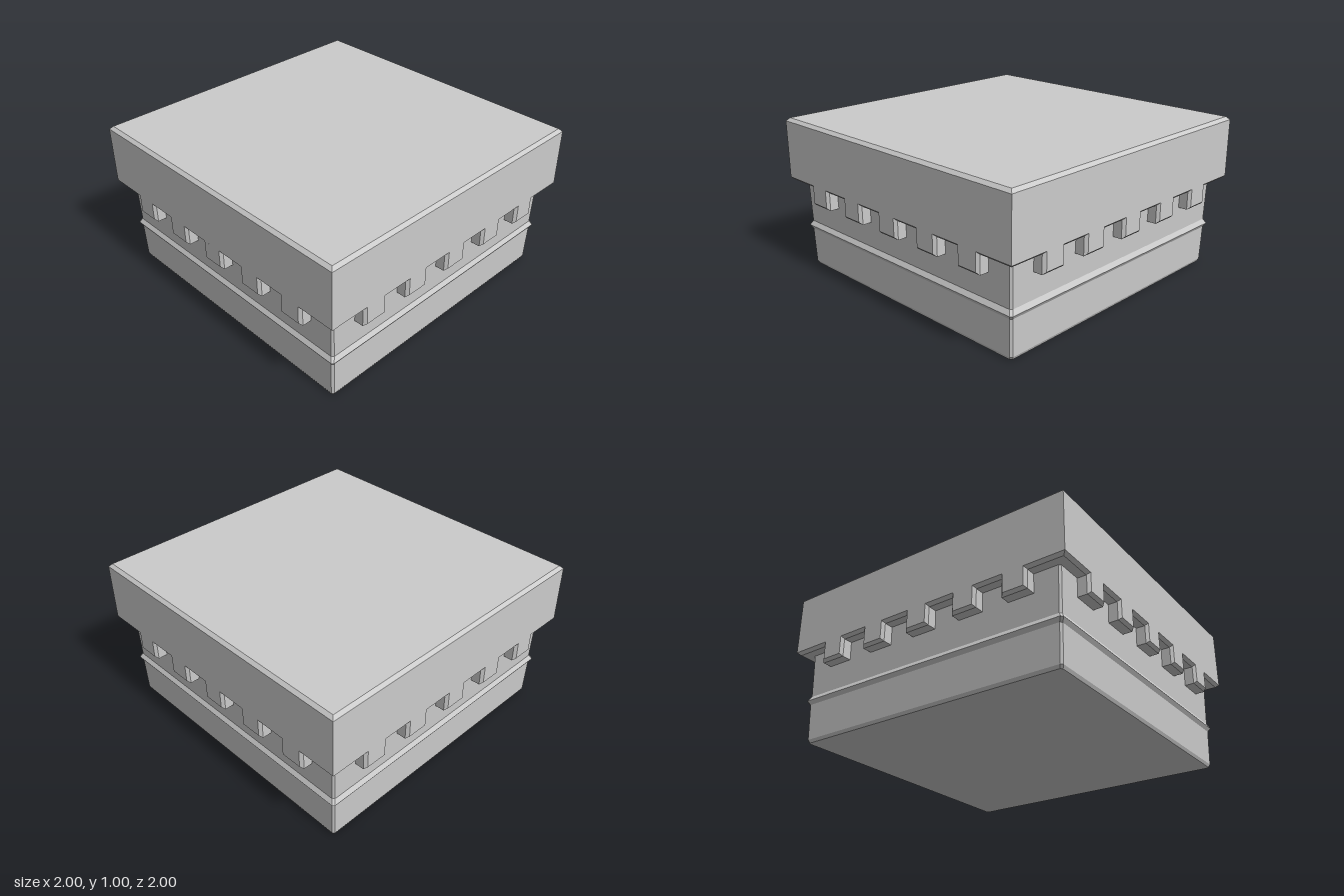
import * as THREE from 'three';

const material = new THREE.MeshStandardMaterial({ color: 0xcccccc, flatShading: true });

// Closed solid through rings of [x, y, z], each counter-clockwise about +z, from low z to high z
function loft(rings) {
  const pos = [];
  const tri = (a, b, c) => pos.push(...a, ...b, ...c);
  const n = rings[0].length;
  for (let r = 0; r < rings.length - 1; r++) {
    for (let i = 0; i < n; i++) {
      const j = (i + 1) % n;
      const [lo, hi] = [rings[r], rings[r + 1]];
      tri(lo[i], lo[j], hi[j]);
      tri(lo[i], hi[j], hi[i]);
    }
  }
  const first = rings[0], last = rings[rings.length - 1];
  for (let i = 1; i < n - 1; i++) {
    tri(first[0], first[i + 1], first[i]);
    tri(last[0], last[i], last[i + 1]);
  }
  const geo = new THREE.BufferGeometry();
  geo.setAttribute('position', new THREE.Float32BufferAttribute(pos, 3));
  geo.computeVertexNormals();
  return geo;
}

const rect = (x0, x1, y0, y1, z) => [[x0, y0, z], [x1, y0, z], [x1, y1, z], [x0, y1, z]];

// Square of half-width h with its corners cut by c
const cutSquare = (h, c, z) => {
  const k = h - c;
  return [[h, -k, z], [h, k, z], [k, h, z], [-k, h, z], [-h, k, z], [-h, -k, z], [-k, -h, z], [k, -h, z]];
};

function addMesh(parent, name, geometry) {
  const mesh = new THREE.Mesh(geometry, material);
  mesh.name = name;
  parent.add(mesh);
  return mesh;
}

export function createModel() {
  const group = new THREE.Group();
  group.name = 'squareCapital';

  // Flared lower block with a raised ridge: [half-width, height]
  const bodyProfile = [[0.905, 0], [0.914, 0.02], [0.92, 0.25], [0.935, 0.275], [0.918, 0.305], [0.925, 0.6]];
  const body = loft(bodyProfile.map(([h, y]) => cutSquare(h, 0.012, y)));
  addMesh(group, 'body', body.rotateX(-Math.PI / 2));

  // Overhanging slab, chamfered above and below
  const slabProfile = [[0.98, 0.587], [1, 0.605], [1, 0.98], [0.98, 1]];
  const slab = loft(slabProfile.map(([h, y]) => rect(-h, h, -h, h, y)));
  addMesh(group, 'slab', slab.rotateX(-Math.PI / 2));

  // Five chamfered dentils under the slab on each side
  const dentil = loft([
    rect(-0.083, 0.083, 0.47, 0.605, 0.9),
    rect(-0.083, 0.083, 0.47, 0.605, 0.982),
    rect(-0.067, 0.067, 0.487, 0.605, 1),
  ]);
  for (let side = 0; side < 4; side++) {
    const row = new THREE.Group();
    row.name = 'dentilRow';
    row.rotation.y = side * Math.PI / 2;
    for (let i = -2; i <= 2; i++) addMesh(row, 'dentil', dentil).position.x = i * 0.337;
    group.add(row);
  }
  return group;
}
